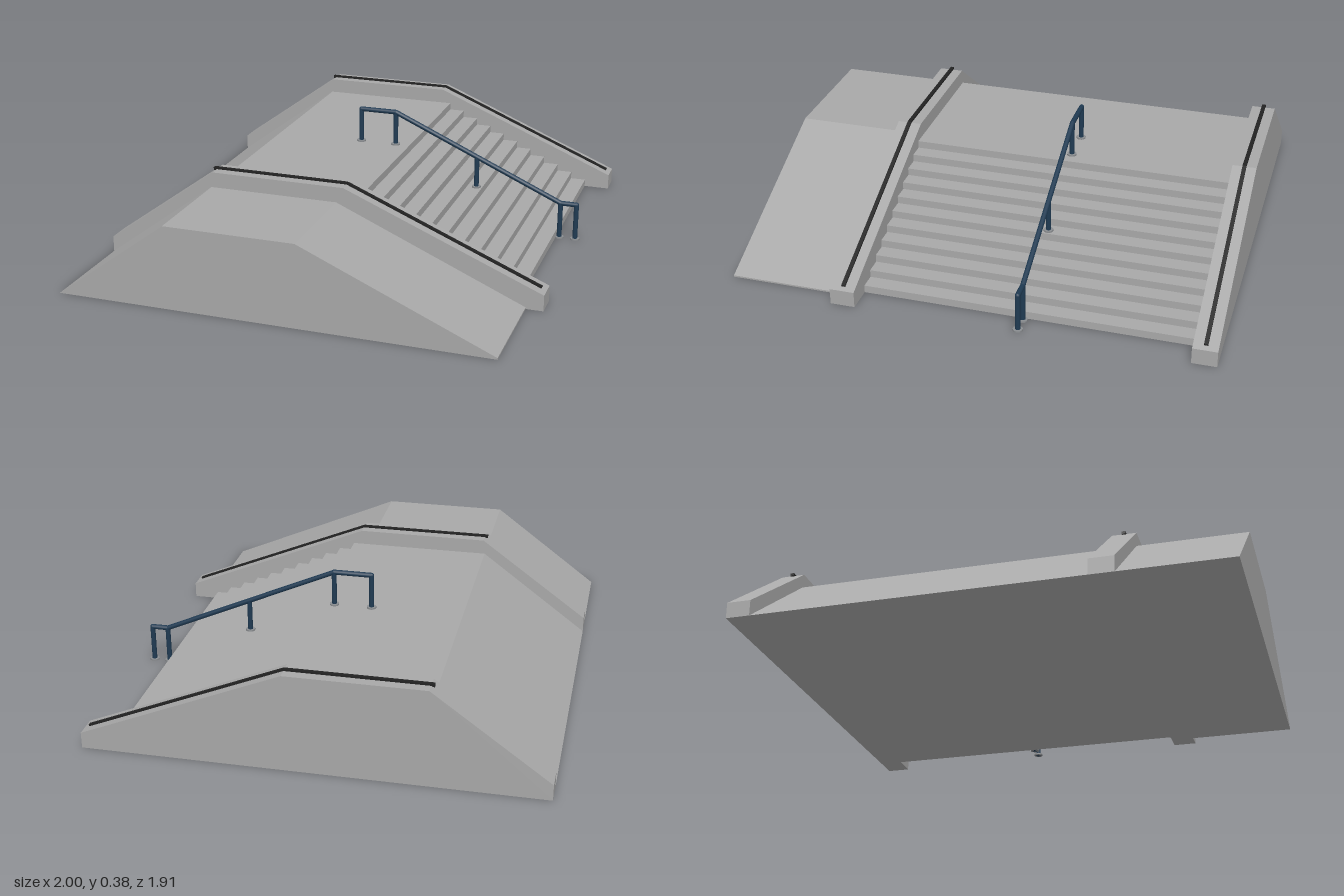
import * as THREE from 'three';

const concrete = new THREE.MeshStandardMaterial({ color: 0xa8a8a8 });
concrete.name = 'concrete grey';
const steel = new THREE.MeshStandardMaterial({ color: 0x1f3a52 });
steel.name = 'dark blue steel';
const charcoal = new THREE.MeshStandardMaterial({ color: 0x222222 });
charcoal.name = 'charcoal';
const plateGrey = new THREE.MeshStandardMaterial({ color: 0x8a8d90 });
plateGrey.name = 'plate grey';

const TOP = 0.26;

// Side profile of [z, y] points, swept across x from x0 to x1
function slab(name, points, x0, x1) {
  const shape = new THREE.Shape(points.map(([z, y]) => new THREE.Vector2(z, y)));
  const geo = new THREE.ExtrudeGeometry(shape, { depth: x1 - x0, bevelEnabled: false });
  geo.rotateY(-Math.PI / 2).translate(x1, 0, 0);
  const mesh = new THREE.Mesh(geo, concrete);
  mesh.name = name;
  return mesh;
}

// Align a mesh's y axis with the line from a to b
function place(mesh, a, b) {
  mesh.position.copy(a).lerp(b, 0.5);
  mesh.quaternion.setFromUnitVectors(new THREE.Vector3(0, 1, 0), b.clone().sub(a).normalize());
  return mesh;
}

function rod(name, a, b, r) {
  const geo = new THREE.CylinderGeometry(r, r, a.distanceTo(b), 12);
  const mesh = place(new THREE.Mesh(geo, steel), a, b);
  mesh.name = name;
  return mesh;
}

export function createModel() {
  const model = new THREE.Group();
  model.name = 'entranceSteps';
  const turned = new THREE.Group();
  turned.name = 'turnedSteps';
  turned.rotation.y = Math.PI / 6;
  model.add(turned);

  // Smooth ramp beside the steps
  turned.add(slab('ramp',
    [[-0.68, 0], [0.662, 0], [0.662, 0.005], [0.076, TOP], [-0.33, TOP]], -0.763, -0.421));

  // Steps, landing and sloping back
  const count = 11, front = 0.632, tread = 0.0505, rise = TOP / count;
  const stairs = [[-0.68, 0], [front, 0]];
  for (let i = 0; i < count; i++) {
    stairs.push([front - i * tread, (i + 1) * rise]);
    if (i < count - 1) stairs.push([front - (i + 1) * tread, (i + 1) * rise]);
  }
  stairs.push([-0.33, TOP]);
  turned.add(slab('stairs', stairs, -0.345, 0.667));

  // Raised kerbs with a thin dark strip along the top
  const kerb = [[-0.68, 0], [0.715, 0], [0.715, 0.05], [0.098, 0.308], [-0.325, 0.308], [-0.68, 0.05]];
  for (const [side, x0, x1] of [['left', 0.667, 0.741], ['right', -0.421, -0.345]]) {
    turned.add(slab(side + 'Kerb', kerb, x0, x1));
    const x = (x0 + x1) / 2;
    const line = [[-0.335, 0.309], [0.098, 0.309], [0.7, 0.0573]].map(([z, y]) => new THREE.Vector3(x, y, z));
    for (let i = 0; i < 2; i++) {
      const geo = new THREE.BoxGeometry(0.012, line[i].distanceTo(line[i + 1]), 0.009);
      const strip = place(new THREE.Mesh(geo, charcoal), line[i], line[i + 1]);
      strip.name = side + 'KerbStrip';
      turned.add(strip);
    }
  }

  // Handrail: bent top bar with five posts
  const rail = new THREE.Group();
  rail.name = 'handrail';
  const railX = 0.155, r = 0.008;
  const at = (z, y) => new THREE.Vector3(railX, y, z);
  const bar = [at(-0.04, 0.372), at(0.08, 0.372), at(0.643, 0.12), at(0.695, 0.12)];
  bar.forEach((p, i) => {
    if (i < 3) rail.add(rod('topBar', p, bar[i + 1], r));
    const joint = new THREE.Mesh(new THREE.SphereGeometry(r, 12, 8), steel);
    joint.name = 'barJoint';
    joint.position.copy(p);
    rail.add(joint);
  });
  const midStep = Math.floor((front - 0.36) / tread) + 1;
  const posts = [[-0.04, TOP, 0.372], [0.08, TOP, 0.372], [0.36, midStep * rise, 0.247],
    [0.643, 0, 0.12], [0.695, 0, 0.12]];
  for (const [z, y0, y1] of posts) {
    rail.add(rod('post', at(z, y0), at(z, y1), r));
    const foot = new THREE.Mesh(new THREE.CylinderGeometry(0.015, 0.015, 0.005, 16), plateGrey);
    foot.name = 'footPlate';
    foot.position.set(railX, y0 + 0.0025, z);
    rail.add(foot);
  }
  turned.add(rail);
  return model;
}
